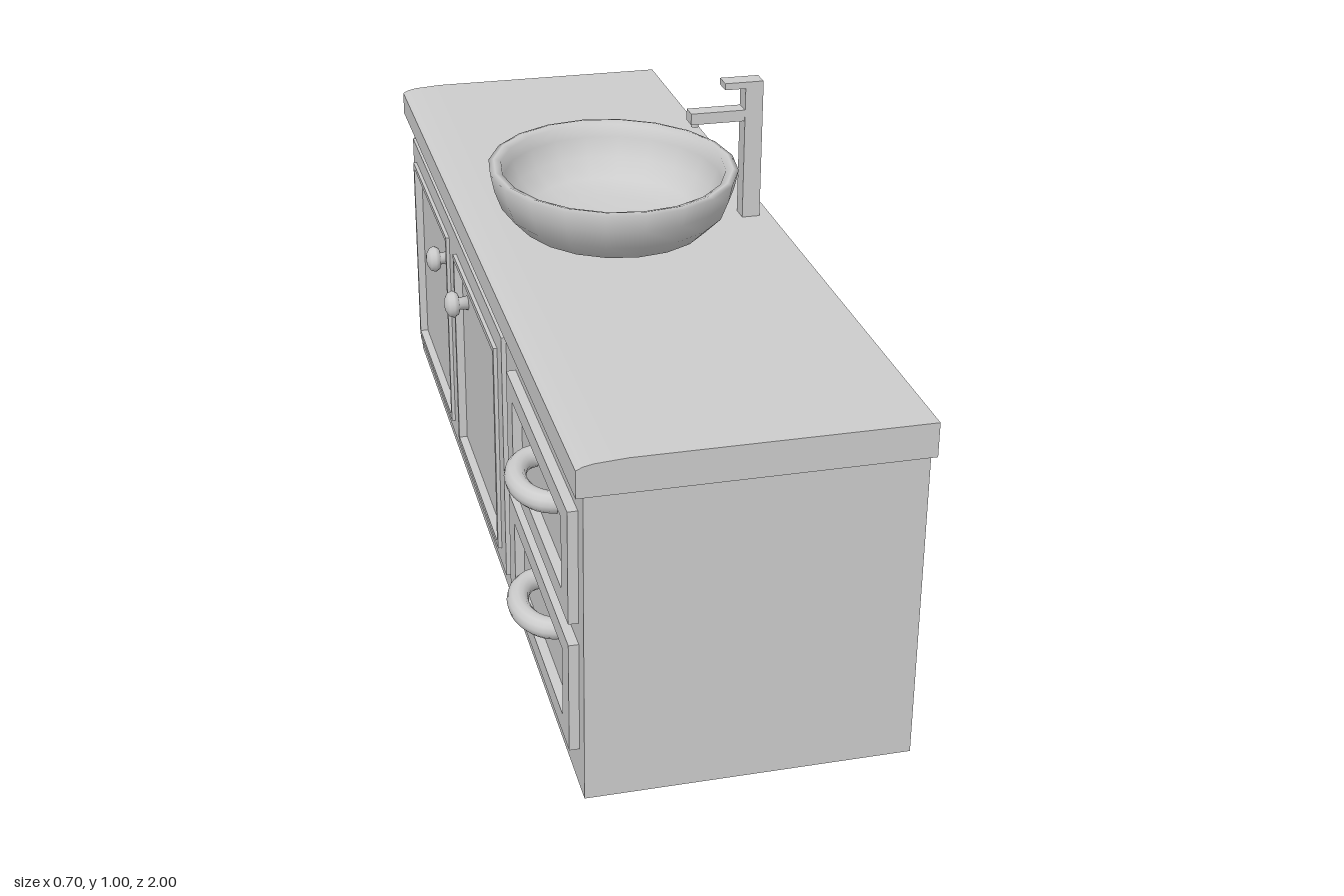
import * as THREE from 'three';
import { toCreasedNormals } from 'three/addons/utils/BufferGeometryUtils.js';

const solid = new THREE.MeshStandardMaterial({ color: 0xcccccc });
const thin = new THREE.MeshStandardMaterial({ color: 0xcccccc, side: THREE.DoubleSide });

function add(parent, name, geometry, material = solid) {
  const mesh = new THREE.Mesh(geometry, material);
  mesh.name = name;
  parent.add(mesh);
  return mesh;
}

// Box given by its minimum and maximum on each axis
function box(parent, name, [x0, x1], [y0, y1], [z0, z1]) {
  const mesh = add(parent, name, new THREE.BoxGeometry(x1 - x0, y1 - y0, z1 - z0));
  mesh.position.set((x0 + x1) / 2, (y0 + y1) / 2, (z0 + z1) / 2);
  return mesh;
}

function rectangle(Type, z0, z1, y0, y1) {
  const path = new Type();
  path.moveTo(z0, y0).lineTo(z1, y0).lineTo(z1, y1).lineTo(z0, y1).closePath();
  return path;
}

// Raised frame with openings, lying on the cabinet face and pointing to -x
function frame(parent, name, outer, openings, depth) {
  const shape = rectangle(THREE.Shape, ...outer);
  for (const o of openings) shape.holes.push(rectangle(THREE.Path, ...o));
  const geo = new THREE.ExtrudeGeometry(shape, { depth, bevelEnabled: false });
  geo.rotateY(-Math.PI / 2);
  add(parent, name, geo).position.x = FACE;
}

// Open sheet following an xy profile, running along z
function sheet(points, z0, z1) {
  const pos = [], index = [];
  points.forEach(([x, y], i) => {
    pos.push(x, y, z0, x, y, z1);
    if (i) {
      const a = 2 * (i - 1);
      index.push(a, a + 1, a + 2, a + 1, a + 3, a + 2);
    }
  });
  const geo = new THREE.BufferGeometry();
  geo.setAttribute('position', new THREE.Float32BufferAttribute(pos, 3));
  geo.setIndex(index);
  return toCreasedNormals(geo, 0.6);
}

const FACE = -0.273, BACK = 0.348, END = 0.97;

export function createModel() {
  const model = new THREE.Group();
  model.name = 'washstand';

  // Cabinet shell, open at the back and below
  const cabinet = new THREE.Group();
  cabinet.name = 'cabinet';
  model.add(cabinet);
  add(cabinet, 'cabinetFace', sheet([[FACE, 0], [FACE, 0.64]], -END, END), thin);
  for (const s of [-1, 1]) {
    const panel = add(cabinet, 'endPanel', new THREE.PlaneGeometry(BACK - FACE, 0.64), thin);
    panel.position.set((BACK + FACE) / 2, 0.32, s * END);
    if (s < 0) panel.rotation.y = Math.PI;
  }
  box(cabinet, 'cupboardBox', [FACE + 0.003, 0.21], [0.05, 0.6], [-0.92, 0.27]);
  box(cabinet, 'drawerBox', [FACE + 0.003, 0.21], [0.36, 0.56], [0.39, 0.91]);

  // Countertop: thin shell with a rounded front lip
  const profile = [
    [FACE, 0.637], [-0.292, 0.637], [-0.292, 0.69], [-0.28, 0.696],
    [-0.26, 0.7], [-0.2, 0.704], [BACK, 0.704]
  ];
  const top = new THREE.Group();
  top.name = 'countertop';
  model.add(top);
  add(top, 'counterSurface', sheet(profile, -1, 1), thin);
  const capPoints = [...profile.slice(1), [BACK, 0.637]].map(p => new THREE.Vector2(...p));
  for (const s of [-1, 1]) {
    add(top, 'counterEnd', new THREE.ShapeGeometry(new THREE.Shape(capPoints)), thin).position.z = s;
    add(top, 'counterOverhang', sheet([[-0.292, 0.637], [BACK, 0.637]],
      Math.min(s, s * END), Math.max(s, s * END)), thin);
  }

  // Pair of doors with sunken panels
  frame(cabinet, 'doorFrames', [-0.92, 0.27, 0.05, 0.597],
    [[-0.86, -0.385, 0.1, 0.54], [-0.265, 0.21, 0.1, 0.54]], 0.01);
  for (const [z0, z1] of [[-0.86, -0.385], [-0.265, 0.21]]) {
    // Raised bead around each panel
    frame(cabinet, 'doorBead', [z0 - 0.012, z1 + 0.012, 0.088, 0.552], [[z0, z1, 0.1, 0.54]], 0.018);
  }

  // Door knobs
  const knobProfile = [[0, 0], [0.016, 0], [0.013, 0.018], [0.024, 0.022], [0.03, 0.032],
    [0.026, 0.043], [0.014, 0.05], [0, 0.052]].map(p => new THREE.Vector2(...p));
  for (const z of [-0.46, -0.2]) {
    const knob = add(cabinet, 'doorKnob', new THREE.LatheGeometry(knobProfile, 16));
    knob.rotation.z = Math.PI / 2;
    knob.position.set(FACE, 0.466, z);
  }

  // Drawer fronts with bow handles
  for (const [y0, y1, handleY] of [[0.08, 0.303, 0.22], [0.347, 0.573, 0.488]]) {
    frame(cabinet, 'drawerFrame', [0.37, 0.93, y0, y1],
      [[0.425, 0.875, y0 + 0.04, y1 - 0.04]], 0.019);
    const arc = [];
    for (let i = 0; i <= 10; i++) {
      const a = Math.PI * i / 10;
      arc.push(new THREE.Vector3(FACE + 0.003 - 0.058 * Math.sin(a), handleY, 0.655 - 0.09 * Math.cos(a)));
    }
    add(cabinet, 'drawerHandle',
      new THREE.TubeGeometry(new THREE.CatmullRomCurve3(arc), 20, 0.021, 12), thin);
  }

  // Oval vessel basin with a rounded rim
  const bowl = [[0, 0.7], [0.155, 0.702], [0.2, 0.723], [0.235, 0.76], [0.25, 0.8], [0.258, 0.838],
    [0.247, 0.841], [0.232, 0.836], [0.226, 0.81], [0.21, 0.77], [0.175, 0.735], [0.12, 0.716],
    [0, 0.71]].map(p => new THREE.Vector2(...p));
  const basin = add(model, 'basin', new THREE.LatheGeometry(bowl, 20), thin);
  basin.scale.z = 0.29 / 0.258;
  basin.position.x = 0.008;

  // Square-section tap
  const tap = new THREE.Group();
  tap.name = 'tap';
  model.add(tap);
  box(tap, 'tapPost', [0.285, 0.323], [0.692, 0.99], [-0.02, 0.02]);
  box(tap, 'tapLever', [0.241, 0.323], [0.989, 1.003], [-0.02, 0.02]);
  box(tap, 'tapSpout', [0.17, 0.287], [0.918, 0.942], [-0.018, 0.018]);
  const nozzle = add(tap, 'tapNozzle', new THREE.CylinderGeometry(0.008, 0.008, 0.012, 12));
  nozzle.position.set(0.183, 0.914, 0);

  return model;
}
